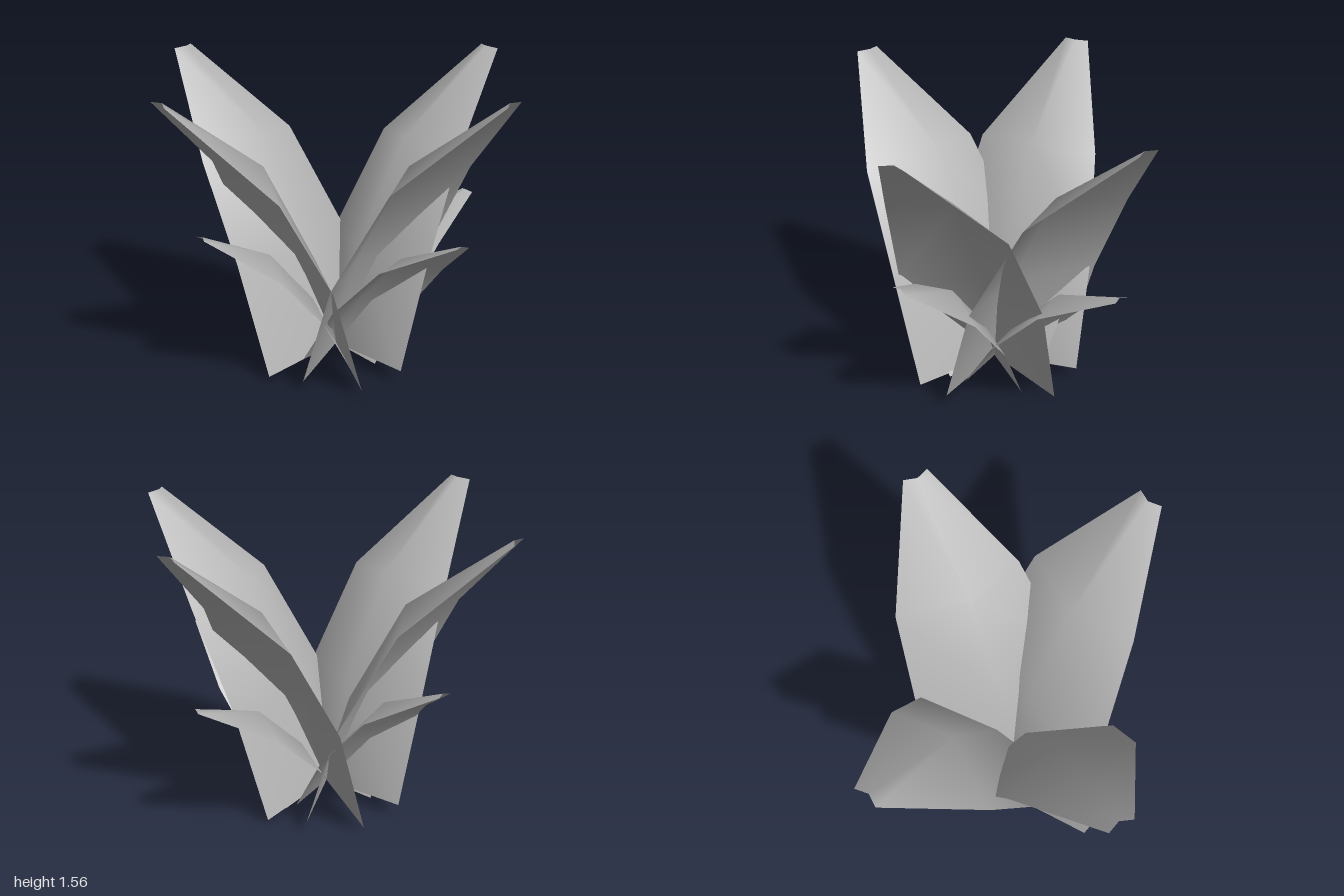
import * as THREE from 'three';

const grey = new THREE.MeshStandardMaterial({ color: 0xb4b4b4, side: THREE.DoubleSide });
grey.name = 'leafGrey';

// Cross-sections from base to tip: right edge, midrib, left edge as [across, up, outward]
const SECTIONS = [
  [[0.41, -0.07, 0.13], [0, 0, 0], [-0.43, -0.02, 0.1]],
  [[0.42, 0.5, 0.31], [0, 0.5, 0.13], [-0.42, 0.5, 0.26]],
  [[0.36, 0.99, 0.57], [0, 1.06, 0.43], [-0.32, 1.02, 0.53]],
  [[0.065, 1.46, 0.99], [0, 1.465, 0.965], [-0.065, 1.46, 0.99]],
];

// Folded leaf sheet with its midrib bulging inwards
function leafGeometry() {
  const index = [];
  for (let r = 0; r < SECTIONS.length - 1; r++) {
    for (let c = 0; c < 2; c++) {
      const a = r * 3 + c, b = a + 1, d = a + 3, e = a + 4;
      index.push(a, d, b, b, d, e);
    }
  }
  const geo = new THREE.BufferGeometry();
  geo.setAttribute('position', new THREE.Float32BufferAttribute(SECTIONS.flat(2), 3));
  geo.setIndex(index);
  geo.computeVertexNormals();
  return geo;
}

export function createModel() {
  const group = new THREE.Group();
  group.name = 'leafyPlant';
  const geo = leafGeometry();
  const rad = THREE.MathUtils.degToRad;

  const addLeaf = (name, yaw, pitch = 0, roll = 0, scale = 1) => {
    const leaf = new THREE.Mesh(geo, grey);
    leaf.name = name;
    leaf.rotation.set(rad(pitch), rad(yaw), rad(roll), 'YXZ');
    leaf.scale.setScalar(scale);
    leaf.position.y = 0.1;
    group.add(leaf);
  };

  // Four tall leaves
  [20, 90, 200, 270].forEach((yaw, i) => addLeaf(`tallLeaf${i + 1}`, yaw));

  // Four short leaves, leaning further out: yaw, pitch, roll
  [[4, 12.5, -8], [90, 18, 0], [180, 13, 0], [270, 12, 0]]
    .forEach(([yaw, pitch, roll], i) => addLeaf(`shortLeaf${i + 1}`, yaw, pitch, roll, 0.625));

  return group;
}
